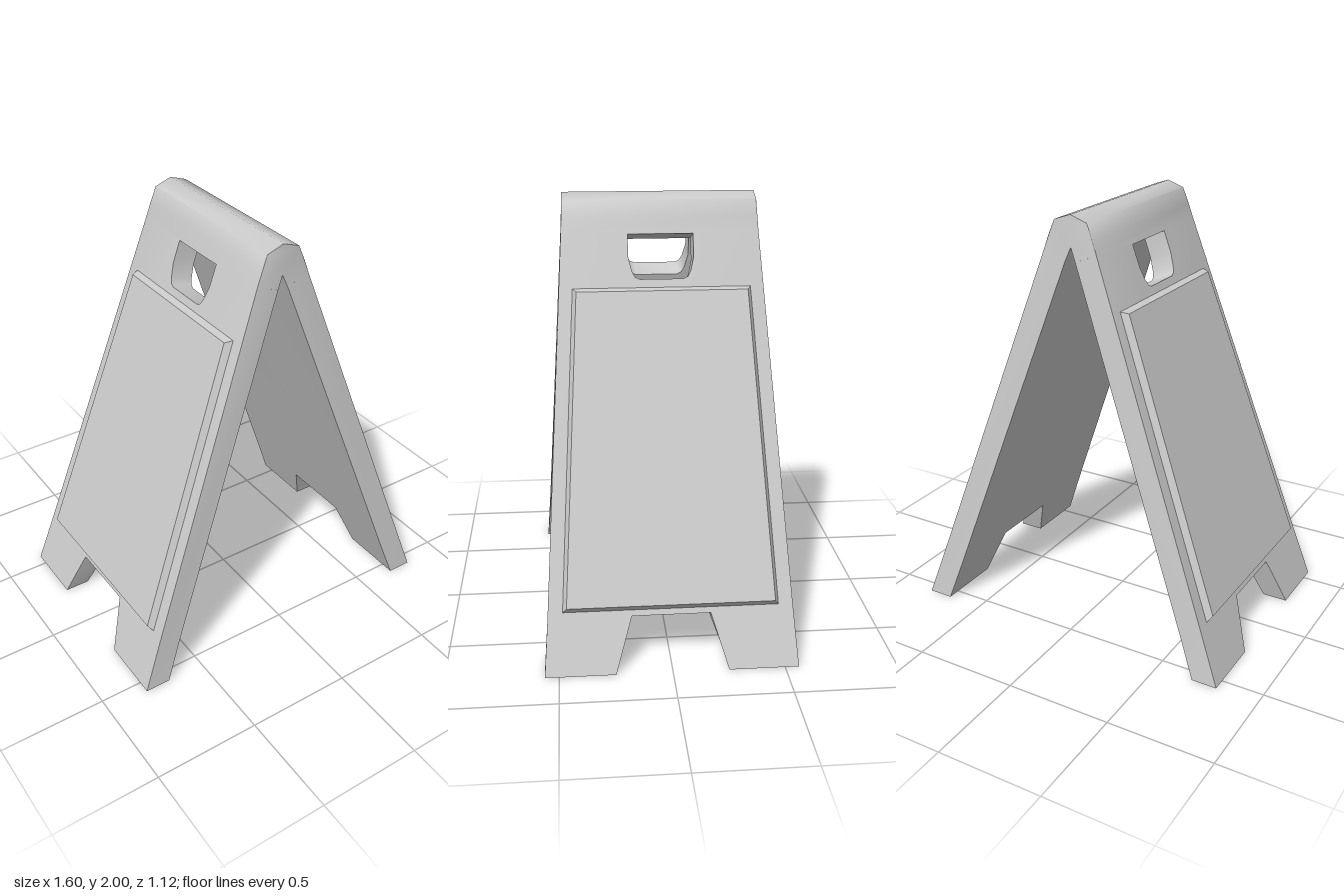
import * as THREE from 'three';
import { mergeGeometries, toCreasedNormals } from 'three/addons/utils/BufferGeometryUtils.js';

const SLOPE = 0.364; // x lost per unit of height on a leaf
const THICK = 0.113; // leaf thickness, square to its face

// A point on the outer face of the +x leaf, lifted h along the face normal.
const onLeaf = (z, y, h) => [0.8 - SLOPE * y + 0.94 * h, y + 0.342 * h, z];

function mapVertices(geo, rule) {
  const p = geo.attributes.position;
  for (let i = 0; i < p.count; i++) p.setXYZ(i, ...rule(p.getX(i), p.getY(i), p.getZ(i)));
  return geo;
}

// Outline from its right half, mirrored to the left.
function mirrored(half) {
  const left = half.map(([a, b]) => [-a, b]).reverse();
  return [...half, ...left].map(([a, b]) => new THREE.Vector2(a, b));
}

const extrude = (shape) => new THREE.ExtrudeGeometry(shape, { depth: 1, bevelEnabled: false });

// Sloping leaf with two feet and a hand hole.
function leafGeometry() {
  const shape = new THREE.Shape(mirrored([
    [0.175, 0.238], [0.25, 0], [0.5625, 0], [0.545, 0.238], [0.4435, 1.84],
  ]));
  shape.holes.push(new THREE.Path(mirrored([
    [0.097, 1.636], [0.118, 1.645], [0.132, 1.67], [0.147, 1.73], [0.147, 1.827],
  ])));
  return mapVertices(extrude(shape), (u, v, w) => {
    if (w > 0.5) return onLeaf(-u, v, 0);
    // openings run square to the face, the soles stay level
    const y = v - 0.342 * THICK * Math.min(1, v / 0.238);
    return [0.68 - SLOPE * y, y, -u];
  });
}

// Rounded ridge that joins both leaves.
function ridgeGeometry() {
  const [ox, oy] = onLeaf(0, 1.84, 0);
  const [ix, iy] = onLeaf(0, 1.84, -THICK);
  const profile = [
    [0, 1.86], [ix, iy], [ox, oy], [0.111, 1.9], [0.08, 1.972], [0, 2],
    [-0.08, 1.972], [-0.111, 1.9], [-ox, oy], [-ix, iy],
  ].map(([x, y]) => new THREE.Vector2(x, y));
  return mapVertices(extrude(new THREE.Shape(profile)), (x, y, w) => {
    const half = y < 1.85 ? 0.4435 : 0.438;
    return [x, y, w > 0.5 ? half : -half];
  });
}

// Raised sign panel with a bevelled rim.
function panelGeometry() {
  const ring = (b, t, y0, y1, h) =>
    [[b, y0], [-b, y0], [-t, y1], [t, y1]].map(([z, y]) => onLeaf(z, y, h));
  const base = ring(0.48, 0.4, 0.262, 1.602, -0.002);
  const face = ring(0.461, 0.383, 0.281, 1.583, 0.03);
  const pos = [];
  const quad = (a, b, c, d) => [a, b, c, a, c, d].forEach((p) => pos.push(...p));
  quad(...face);
  for (let i = 0; i < 4; i++) {
    const j = (i + 1) % 4;
    quad(base[i], base[j], face[j], face[i]);
  }
  const geo = new THREE.BufferGeometry();
  geo.setAttribute('position', new THREE.Float32BufferAttribute(pos, 3));
  geo.computeVertexNormals();
  return geo;
}

export function createModel() {
  const group = new THREE.Group();
  group.name = 'foldingFloorSign';
  const material = new THREE.MeshStandardMaterial({ color: 0xcccccc });
  const add = (name, geo) => {
    const mesh = new THREE.Mesh(geo, material);
    mesh.name = name;
    group.add(mesh);
  };

  // Both leaves and the ridge form one body, smooth over the top.
  const leaf = leafGeometry();
  const body = mergeGeometries([leaf, leaf.clone().rotateY(Math.PI), ridgeGeometry()]);
  add('signBody', toCreasedNormals(body, 0.87));

  const panel = panelGeometry();
  add('leftPanel', panel);
  add('rightPanel', panel.clone().rotateY(Math.PI));
  return group;
}
